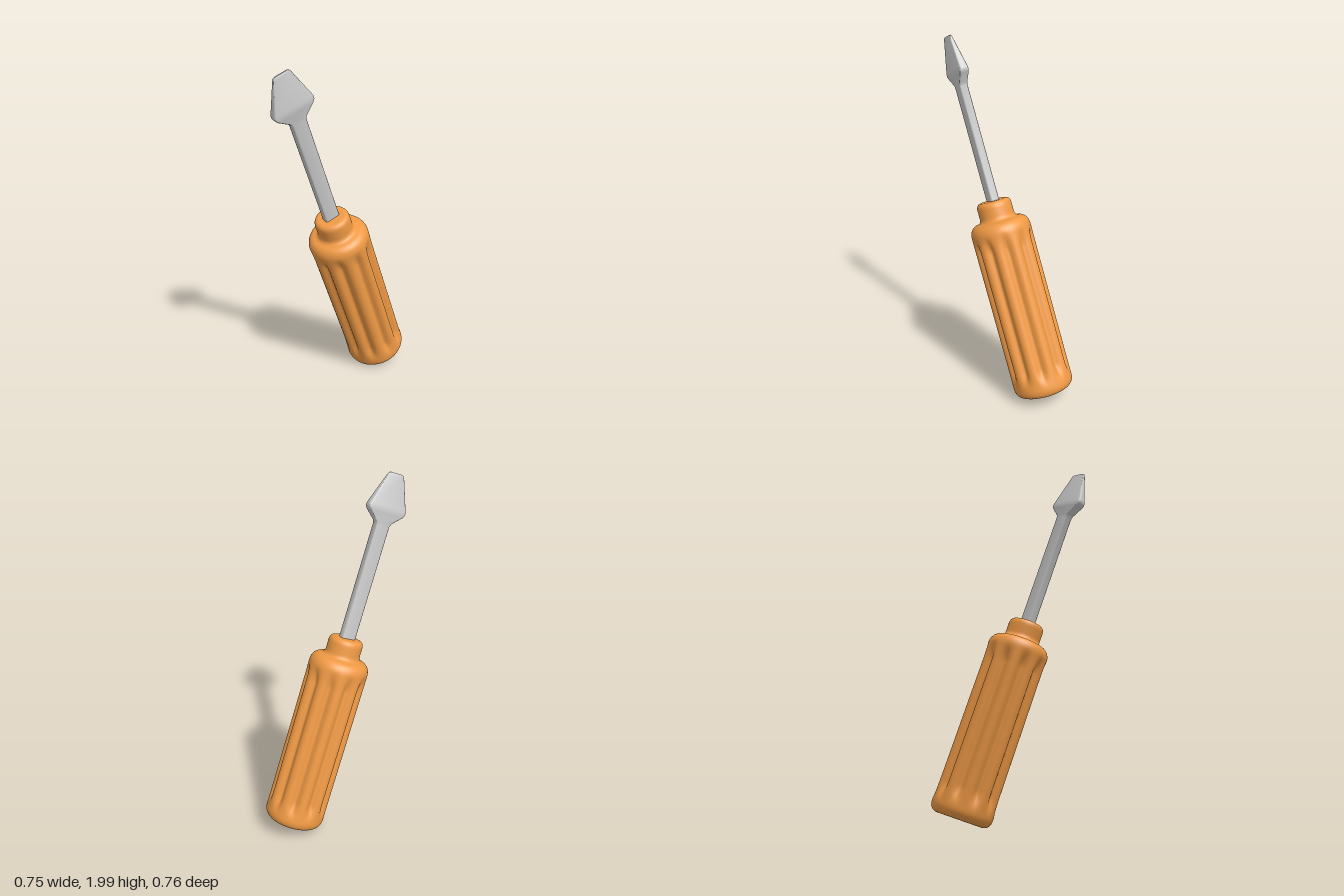
import * as THREE from 'three';
import { mergeVertices, toCreasedNormals } from 'three/addons/utils/BufferGeometryUtils.js';

const GROOVES = 10;

// Fluted grip: a rounded profile turned around y, then pressed in by evenly spaced grooves
function handleGeometry() {
  const p = new THREE.Path();
  p.moveTo(0, -0.04);
  p.lineTo(0.125, -0.04);
  p.bezierCurveTo(0.152, -0.04, 0.172, -0.02, 0.172, 0.015);
  p.lineTo(0.172, 0.915);
  p.bezierCurveTo(0.172, 0.96, 0.15, 0.982, 0.125, 0.985);
  p.quadraticCurveTo(0.1, 0.988, 0.099, 1.012);
  p.lineTo(0.099, 1.065);
  p.quadraticCurveTo(0.099, 1.1, 0.07, 1.1);
  p.lineTo(0, 1.1);
  let geo = new THREE.LatheGeometry(p.getSpacedPoints(150), 160);

  const pos = geo.attributes.position;
  const step = (Math.PI * 2) / GROOVES;
  for (let i = 0; i < pos.count; i++) {
    const x = pos.getX(i), y = pos.getY(i), z = pos.getZ(i);
    const fade = THREE.MathUtils.smoothstep(y, 0.02, 0.13) * (1 - THREE.MathUtils.smoothstep(y, 0.82, 0.94));
    if (fade <= 0) continue;
    const turn = Math.atan2(z, x) / step;
    const off = (turn - Math.floor(turn) - 0.5) * step; // angle from the groove centre
    const k = 1 - (0.027 * fade * Math.exp(-((off / 0.15) ** 2))) / 0.172;
    pos.setXYZ(i, x * k, y, z * k);
  }
  geo.deleteAttribute('uv');
  geo.deleteAttribute('normal');
  geo = mergeVertices(geo, 1e-5);
  geo.computeVertexNormals();
  return geo;
}

// Rounded rectangular sections [height, half width, half thickness] joined into a closed solid
function loftGeometry(sections) {
  const verts = [], index = [], steps = 4, n = steps * 4;
  for (const [y, hw, ht] of sections) {
    const c = Math.min(0.011, ht * 0.8);
    for (let q = 0; q < 4; q++) {
      const sx = q === 0 || q === 3 ? 1 : -1, sz = q < 2 ? 1 : -1;
      for (let j = 0; j < steps; j++) {
        const t = (q + j / (steps - 1)) * Math.PI / 2;
        verts.push(sx * (hw - c) + c * Math.cos(t), y, sz * (ht - c) + c * Math.sin(t));
      }
    }
  }
  const last = (sections.length - 1) * n;
  for (let r = 0; r < last; r += n) {
    for (let i = 0; i < n; i++) {
      const j = (i + 1) % n;
      index.push(r + i, r + n + i, r + j, r + j, r + n + i, r + n + j);
    }
  }
  for (let i = 1; i < n - 1; i++) {
    index.push(0, i, i + 1, last, last + i + 1, last + i);
  }
  const geo = new THREE.BufferGeometry();
  geo.setAttribute('position', new THREE.Float32BufferAttribute(verts, 3));
  geo.setIndex(index);
  return toCreasedNormals(geo, 0.55);
}

export function createModel() {
  const tool = new THREE.Group();
  tool.name = 'screwdriver';

  const handle = new THREE.Mesh(handleGeometry(), new THREE.MeshStandardMaterial({ color: 0xf09a45 }));
  handle.name = 'handle';

  // Flat shaft flaring into the tapered tip
  const blade = new THREE.Mesh(loftGeometry([
    [1.05, 0.043, 0.025],
    [1.755, 0.043, 0.025],
    [1.772, 0.05, 0.025],
    [1.822, 0.108, 0.027],
    [1.834, 0.116, 0.027],
    [1.848, 0.118, 0.026],
    [1.862, 0.114, 0.024],
    [2.025, 0.053, 0.009],
    [2.036, 0.047, 0.007],
    [2.041, 0.038, 0.004],
  ]), new THREE.MeshStandardMaterial({ color: 0xcccccc }));
  blade.name = 'blade';
  tool.add(handle, blade);

  // Lean the tool: y along its length, x across the flat of the blade
  const along = new THREE.Vector3(-0.257, 0.925, 0.281).normalize();
  const across = new THREE.Vector3(0.82, 0.36, -0.44);
  across.addScaledVector(along, -across.dot(along)).normalize();
  const normal = new THREE.Vector3().crossVectors(across, along);
  tool.quaternion.setFromRotationMatrix(new THREE.Matrix4().makeBasis(across, along, normal));
  tool.position.set(0.203, 0.093, -0.217);

  const model = new THREE.Group();
  model.name = 'model';
  model.add(tool);
  return model;
}
